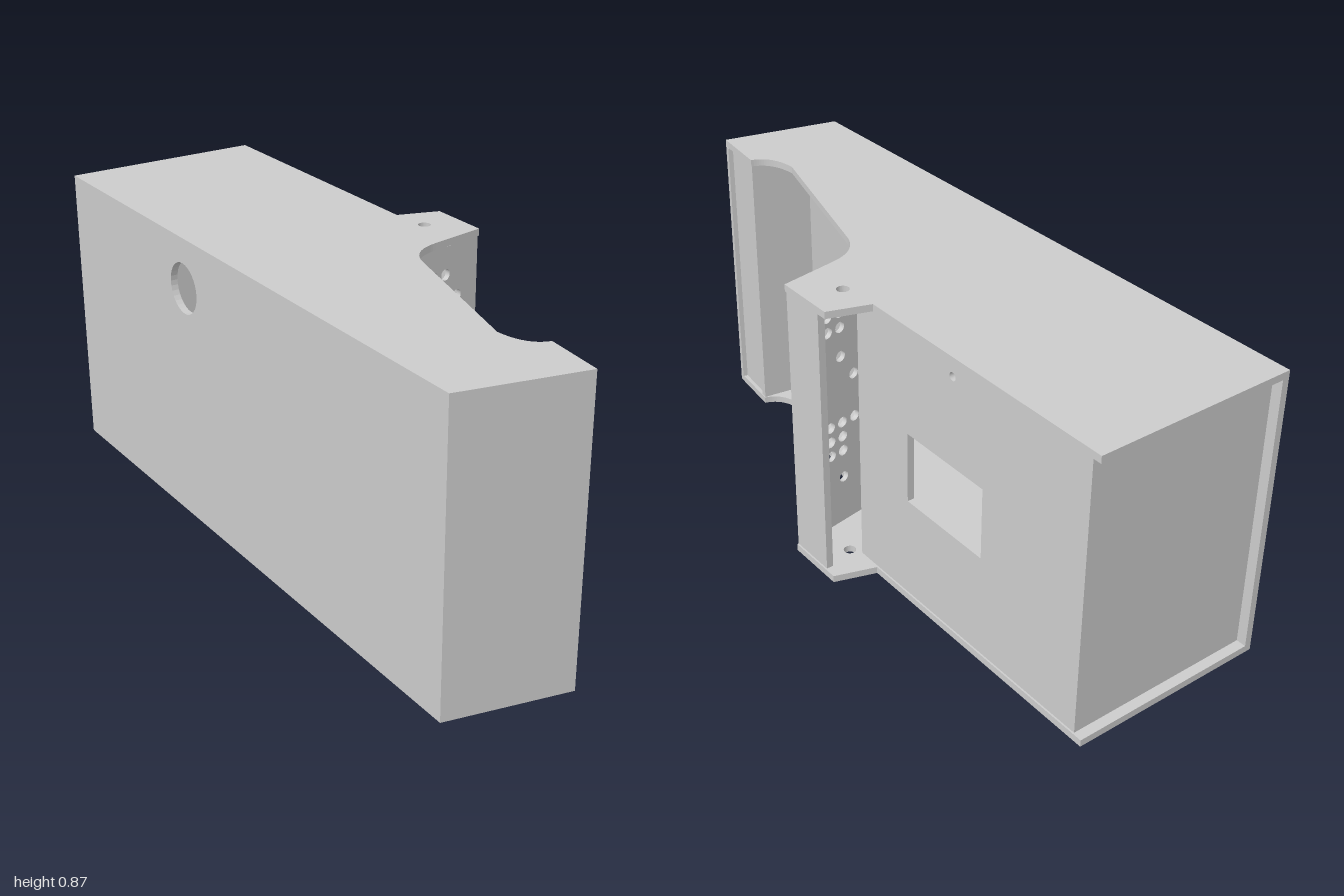
import * as THREE from 'three';

const H = 0.87, T = 0.021; // overall height and board thickness

export function createModel() {
  const model = new THREE.Group();
  const material = new THREE.MeshStandardMaterial({ color: 0xcccccc });

  const add = (name, geometry) => {
    const mesh = new THREE.Mesh(geometry, material);
    mesh.name = name;
    model.add(mesh);
    return mesh;
  };

  const roundHole = (x, y, r) => new THREE.Path().absarc(x, y, r, 0, Math.PI * 2, true);
  const rectHole = (x0, y0, x1, y1) => new THREE.Path(
    [[x0, y0], [x0, y1], [x1, y1], [x1, y0]].map(p => new THREE.Vector2(...p))).closePath();

  // Upright board from a to b (x, z); its outer face lies on that line.
  // Hole positions are distance along the board and height.
  function board(name, a, b, holes = [], t = T) {
    const dx = b[0] - a[0], dz = b[1] - a[1], len = Math.hypot(dx, dz);
    const shape = new THREE.Shape();
    shape.moveTo(0, T).lineTo(len, T).lineTo(len, H - T).lineTo(0, H - T).closePath();
    shape.holes.push(...holes);
    const geometry = new THREE.ExtrudeGeometry(shape, { depth: t, bevelEnabled: false, curveSegments: 16 });
    geometry.translate(0, 0, -t);
    const mesh = add(name, geometry);
    mesh.position.set(a[0], 0, a[1]);
    mesh.rotation.y = Math.atan2(-dz, dx);
  }

  // Two profiled side plates, lying at the bottom and the top
  const outline = new THREE.Shape();
  outline.moveTo(-0.365, -0.915);
  outline.lineTo(-0.01, -0.995);
  outline.lineTo(0.01, -0.815);
  outline.quadraticCurveTo(-0.055, -0.80, -0.062, -0.70);
  outline.lineTo(0.075, -0.21);
  outline.quadraticCurveTo(0.10, -0.13, 0.19, -0.115);
  outline.lineTo(0.362, -0.085);
  outline.lineTo(0.362, 0.10);
  outline.lineTo(0.24, 0.14);
  outline.lineTo(0.24, 1);
  outline.lineTo(-0.365, 1);
  outline.closePath();
  outline.holes.push(roundHole(0.255, 0.027, 0.018));
  for (const [name, y] of [['bottomSidePlate', 0], ['topSidePlate', H - T]]) {
    const plate = new THREE.ExtrudeGeometry(outline, { depth: T, bevelEnabled: false, curveSegments: 16 });
    plate.rotateX(-Math.PI / 2);
    add(name, plate).position.y = y;
  }

  // Long back board with a round cable opening, and the end boards
  board('backBoard', [-0.365, -1], [-0.365, 0.915], [roundHole(0.69, 0.72, 0.075)]);
  board('frontEndBoard', [-0.365, 0.915], [-0.01, 0.995]);
  board('rearEndBoard', [0.214, -0.97], [-0.344, -0.97]);

  // Door side with a rectangular window and a lock hole
  board('doorBoard', [0.235, -0.06], [0.235, -0.97],
    [rectHole(0.22, 0.33, 0.53, 0.545), roundHole(0.405, 0.81, 0.012)]);

  // Control panel with rows of button holes, keyed by x position
  const start = [0.065, 0.137], end = [0.357, 0.086];
  const stretch = Math.hypot(end[0] - start[0], end[1] - start[1]) / (end[0] - start[0]);
  const columns = [
    [0.137, [0.505, 0.363]],
    [0.185, [0.767, 0.72, 0.672, 0.58, 0.363, 0.315, 0.267, 0.175]],
    [0.231, [0.767, 0.72, 0.672, 0.363, 0.315, 0.267]],
    [0.278, [0.695, 0.648, 0.29, 0.243]],
  ];
  const buttons = columns.flatMap(([x, ys]) =>
    ys.map(y => roundHole((x - start[0]) * stretch, y, 0.017)));
  board('controlPanel', start, end, buttons, 0.015);
  board('controlPanelLip', [0.357, 0.086], [0.357, -0.06]);

  // Recessed screen board and the hood above it
  board('screenBoard', [-0.327, 0.67], start);
  board('hoodSlope', [-0.18, 0.79], [-0.327, 0.67], [], 0.015);
  board('hoodBoard', [0.0, 0.817], [-0.18, 0.79], [], 0.015);

  // Lit header panel set slightly back between two edge strips
  board('headerPanel', [-0.02, 0.975], [-0.004, 0.835], [], 0.012);
  board('headerFrontStrip', [-0.011, 0.99], [-0.009, 0.975]);
  board('headerRearStrip', [0.004, 0.84], [0.007, 0.817]);

  return model;
}
